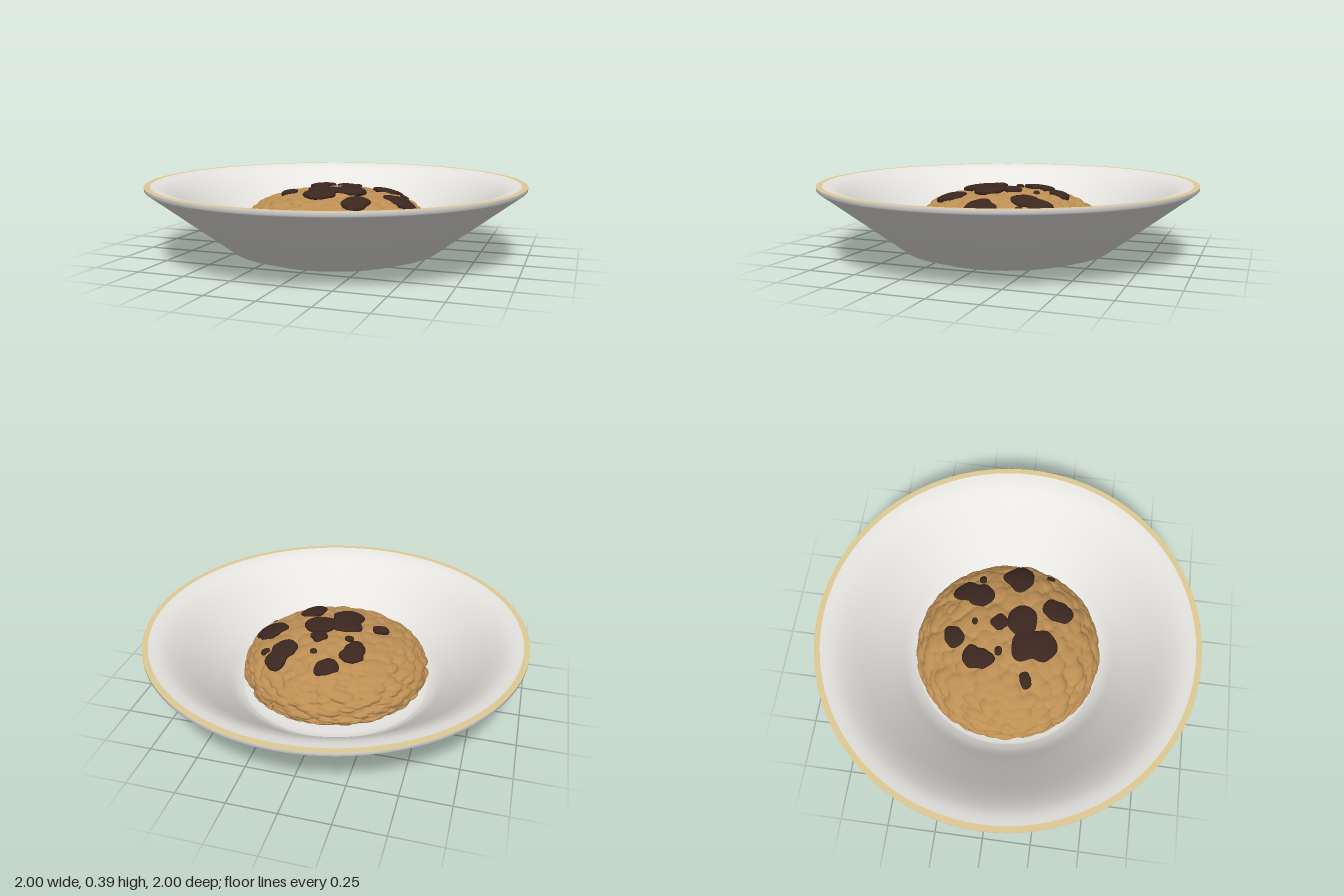
import * as THREE from 'three';
import { mergeVertices } from 'three/addons/utils/BufferGeometryUtils.js';

const material = (name, color) => {
  const m = new THREE.MeshStandardMaterial({ color });
  m.name = name;
  return m;
};

// Small seeded random source
function seeded(seed) {
  return () => {
    seed = (seed * 16807) % 2147483647;
    return seed / 2147483647;
  };
}

const COOKIE = { radius: 0.482, middle: 0.15, top: 0.187, bottom: 0.12, power: 2.15 };

// Height of the cookie's dome at a distance from its axis
function domeHeight(r) {
  const t = Math.min(r / COOKIE.radius, 1);
  return COOKIE.middle + COOKIE.top * Math.pow(1 - Math.pow(t, COOKIE.power), 1 / COOKIE.power);
}

// Unit sphere without a seam, ready for reshaping
function seamlessSphere(around, down) {
  const geo = new THREE.SphereGeometry(1, around, down);
  geo.deleteAttribute('uv');
  geo.deleteAttribute('normal');
  return mergeVertices(geo, 1e-5);
}

// Rounded dough body covered in overlapping crumbs
function cookieGeometry() {
  const geo = seamlessSphere(290, 160);
  const random = seeded(4217);
  const count = 1000;
  const crumbs = [];
  for (let i = 0; i < count; i++) {
    const y = 1 - (2 * (i + 0.5)) / count;
    const a = i * 2.39996 + (random() - 0.5) * 0.5;
    const s = Math.sqrt(1 - y * y);
    crumbs.push({
      center: new THREE.Vector3(s * Math.cos(a), y + (random() - 0.5) * 0.06, s * Math.sin(a)).normalize(),
      size: 0.05 + random() * 0.06,
    });
  }

  const pos = geo.attributes.position;
  const v = new THREE.Vector3();
  for (let i = 0; i < pos.count; i++) {
    v.fromBufferAttribute(pos, i).normalize();
    let bump = 0;
    for (const c of crumbs) {
      const d = v.distanceToSquared(c.center) / (c.size * c.size);
      if (d < 1) bump = Math.max(bump, Math.sqrt(1 - d) * c.size * 10);
    }
    // Crumbs fade a little toward the top
    const height = 0.02 * bump * (1 - 0.35 * THREE.MathUtils.smoothstep(v.y, 0.6, 0.95));
    const k = COOKIE.power;
    const flat = Math.hypot(v.x, v.z);
    const f = 1 / Math.pow(Math.pow(flat, k) + Math.pow(Math.abs(v.y), k), 1 / k);
    const rise = v.y > 0 ? COOKIE.top : COOKIE.bottom;
    pos.setXYZ(
      i,
      v.x * (f * COOKIE.radius + height),
      Math.max(0.05, COOKIE.middle + v.y * (f * rise + height)),
      v.z * (f * COOKIE.radius + height),
    );
  }
  geo.computeVertexNormals();
  return geo;
}

// Irregular flat chip resting on the dome; radii run from +x round toward +z
function chipGeometry(x, z, radii, thickness) {
  const geo = seamlessSphere(40, 14);
  const n = radii.length;
  const pos = geo.attributes.position;
  const seat = domeHeight(Math.hypot(x, z));
  for (let i = 0; i < pos.count; i++) {
    const angle = Math.atan2(pos.getZ(i), pos.getX(i));
    const t = ((angle / (2 * Math.PI) + 1) % 1) * n;
    const k = Math.floor(t) % n;
    const blend = (1 - Math.cos((t - Math.floor(t)) * Math.PI)) / 2;
    const r = THREE.MathUtils.lerp(radii[k], radii[(k + 1) % n], blend);
    const rho = Math.hypot(pos.getX(i), pos.getZ(i)) * r;
    const px = x + Math.cos(angle) * rho;
    const pz = z + Math.sin(angle) * rho;
    const up = pos.getY(i);
    const lift = Math.sign(up) * Math.sqrt(Math.abs(up)) * thickness;
    const base = THREE.MathUtils.lerp(domeHeight(Math.hypot(px, pz)), seat, 0.22);
    pos.setXYZ(i, px, base + 0.014 + lift, pz);
  }
  geo.computeVertexNormals();
  return geo;
}

// Chips in hundredths of a unit: x, z, then outline radii
const CHIPS = [
  [-3, -28, [6, 5, 5.5, 5.5, 6, 5, 5.5, 7.5]],
  [-13, -14, [5, 6, 9, 7, 5.5, 7.5, 8.5, 8.5]],
  [23, -20, [6.5, 8.5, 10, 8.5, 6.5, 5.5, 13, 10.5]],
  [36.5, 2, [9, 8.5, 7.5, 8, 9.5, 7, 9.5, 7.5]],
  [10, 6, [9, 9, 8, 9, 8.5, 8, 7.5, 8]],
  [7.5, -5.5, [5, 4.5, 5, 4, 4.5, 4, 5, 4]],
  [-2.5, 14, [7.5, 11, 12.5, 11, 7.5, 13, 11.5, 11]],
  [19, 24.5, [6, 6.5, 8.5, 8, 6, 6.5, 8.5, 8.5]],
  [-22, 12, [4.5, 3, 3, 4, 4.5, 3, 3, 4.5]],
  [33.5, -18, [2.5, 2, 2.5, 2]],
  [41, 18.5, [1.8, 2.6, 1.8, 2.6]],
  [7, -18.5, [1.8, 1.5, 2, 1.6]],
  [-8.5, -4, [2.6, 2, 2.4, 2]],
];

export function createModel() {
  const porcelain = material('porcelain', 0xf0eeea);
  const gold = material('pale gold', 0xdfca93);
  const dough = material('baked dough', 0xbd8f54);
  const chocolate = material('dark chocolate', 0x3c2720);

  const model = new THREE.Group();
  model.name = 'cookieBowl';
  const add = (name, geometry, mat, parent) => {
    const mesh = new THREE.Mesh(geometry, mat);
    mesh.name = name;
    parent.add(mesh);
  };
  const profile = (points) => points.map(([r, y]) => new THREE.Vector2(r, y));
  const lathe = (points) => new THREE.LatheGeometry(points, 96);

  // Bowl: straight outside, flared inside with a soft lip, gilded edge
  const bowl = new THREE.Group();
  bowl.name = 'bowl';
  model.add(bowl);
  const outside = profile([[0, 0], [0.45, 0], [0.56, 0.035], [0.99, 0.361], [1, 0.37], [1, 0.387]]);
  const flare = new THREE.SplineCurve(profile([
    [0.97, 0.387], [0.9, 0.37], [0.82, 0.32], [0.72, 0.235], [0.62, 0.145], [0.55, 0.08], [0.5, 0.05],
  ]));
  add('bowlOutside', lathe(outside), porcelain, bowl);
  add('bowlInside', lathe([...flare.getPoints(24), ...profile([[0.46, 0.045], [0, 0.045]])]), porcelain, bowl);
  add('goldRim', lathe(profile([[1, 0.387], [0.97, 0.387]])), gold, bowl);

  // Cookie with chocolate pieces set in its top
  const cookie = new THREE.Group();
  cookie.name = 'cookie';
  model.add(cookie);
  add('cookieBody', cookieGeometry(), dough, cookie);
  for (const [x, z, radii] of CHIPS) {
    const thickness = radii.length === 4 ? 0.012 : 0.018;
    const geo = chipGeometry(x / 100, z / 100, radii.map((r) => r / 100), thickness);
    add('chocolateChip', geo, chocolate, cookie);
  }
  return model;
}
